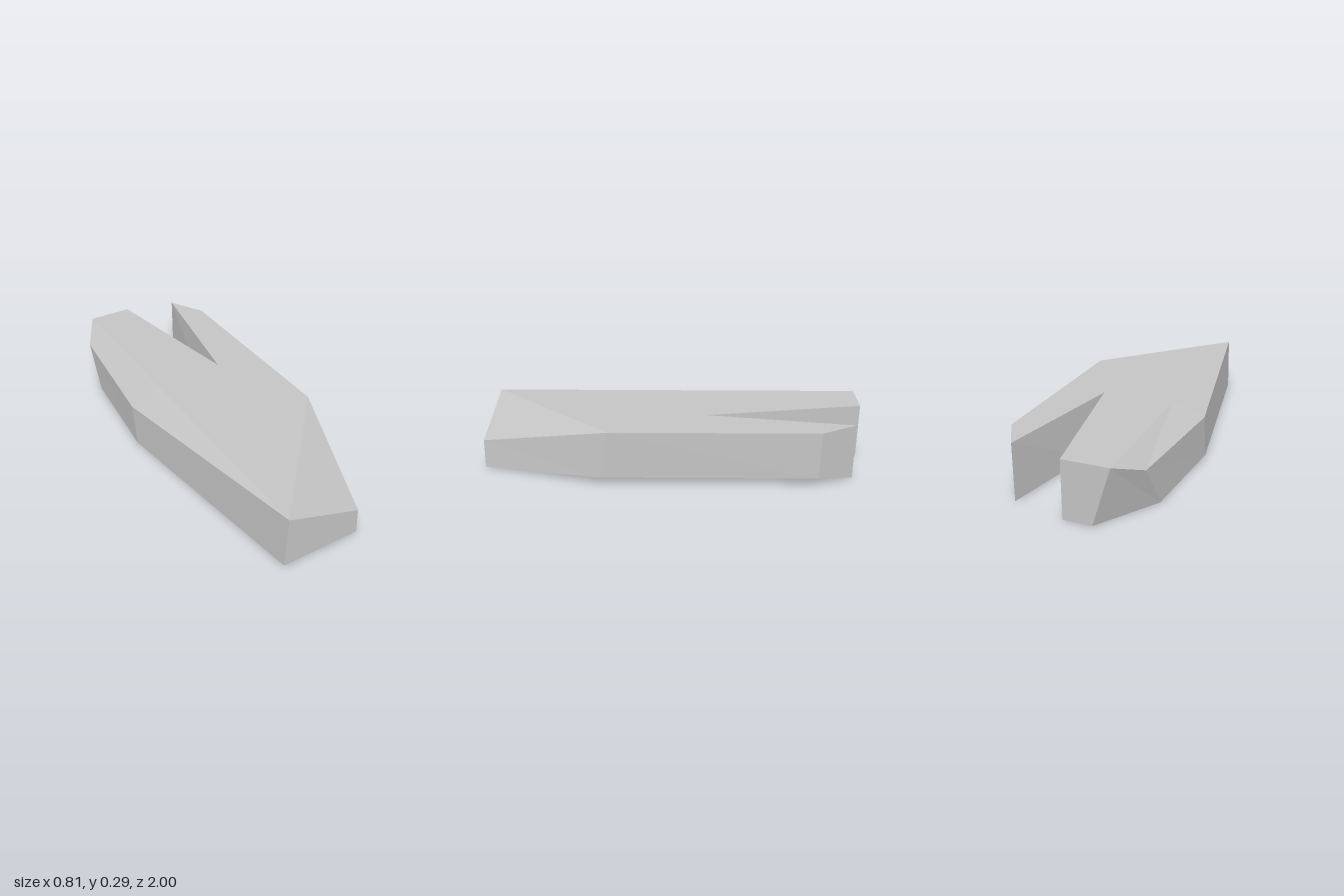
import * as THREE from 'three';

// Outline corners, anticlockwise from above: [top xyz], [bottom xyz]
const corners = {
  frontRight: [[-0.193, 0.292, 1], [-0.2, 0, 1]],
  frontLeft: [[0.207, 0.15, 1], [0.218, 0, 1]],
  shoulderLeft: [[0.403, 0.292, 0.315], [0.403, 0.045, 0.36]],
  rearLeft: [[0.357, 0.292, -0.75], [0.357, 0.045, -0.745]],
  prongTip: [[0.243, 0.292, -0.935], [0.243, 0, -0.935]],
  notch: [[0.142, 0.292, -0.18], [0.152, 0, -0.36]],
  rearMiddle: [[-0.037, 0.292, -1], [-0.037, 0, -1]],
  rearRight: [[-0.272, 0.292, -1], [-0.182, 0, -1]],
  sideRear: [[-0.365, 0.226, -0.835], [-0.375, 0, -0.69]],
  sideRight: [[-0.405, 0.225, -0.155], [-0.405, 0, -0.12]],
};
const inner = [-0.238, 0.292, -0.17]; // where the chipped edge meets the flat top

export function createModel() {
  const stone = new THREE.MeshStandardMaterial({ color: 0xc4c4c4 });
  stone.name = 'stone grey';
  const group = new THREE.Group();
  group.name = 'notchedSlab';

  const ring = Object.values(corners);
  const top = ring.map((c) => c[0]);
  const bottom = ring.map((c) => c[1]);

  // Unshared triangles give each facet its own flat normal
  function addPart(name, triangles) {
    const geometry = new THREE.BufferGeometry();
    geometry.setAttribute('position', new THREE.Float32BufferAttribute(triangles.flat(2), 3));
    geometry.computeVertexNormals();
    const mesh = new THREE.Mesh(geometry, stone);
    mesh.name = name;
    group.add(mesh);
  }

  // Triangulate a polygon in plan, facing up (1) or down (-1)
  function facet(points, facing) {
    const plan = points.map(([x, , z]) => new THREE.Vector2(x, -z));
    return THREE.ShapeUtils.triangulateShape(plan, []).map((ids) => {
      const turn = THREE.ShapeUtils.area(ids.map((i) => plan[i]));
      const t = ids.map((i) => points[i]);
      return turn * facing > 0 ? t : t.reverse();
    });
  }
  const pick = (list, ids) => ids.map((i) => list[i]);

  // Flat top with the notch cut in at the rear
  addPart('flatTop', facet([...pick(top, [0, 2, 3, 4, 5, 6, 7]), inner], 1));
  // Sloping front facet
  addPart('frontSlope', facet(pick(top, [0, 1, 2]), 1));
  // Chipped facets along the right edge
  addPart('chippedEdge', [[7, 8], [8, 9], [9, 0]].flatMap((pair) => facet([...pick(top, pair), inner], 1)));
  // Underside: flat part, and facets fanning from the notch and rising to the left
  addPart('flatUnderside', facet(pick(bottom, [0, 1, 5, 6, 7, 8, 9]), -1));
  addPart('raisedUnderside', [1, 2, 3].flatMap((i) => facet(pick(bottom, [i, i + 1, 5]), -1)));

  // Side walls around the outline
  const walls = [];
  ring.forEach(([t0, b0], i) => {
    const [t1, b1] = ring[(i + 1) % ring.length];
    walls.push([b0, b1, t0], [b1, t1, t0]);
  });
  addPart('sideWalls', walls);
  return group;
}
